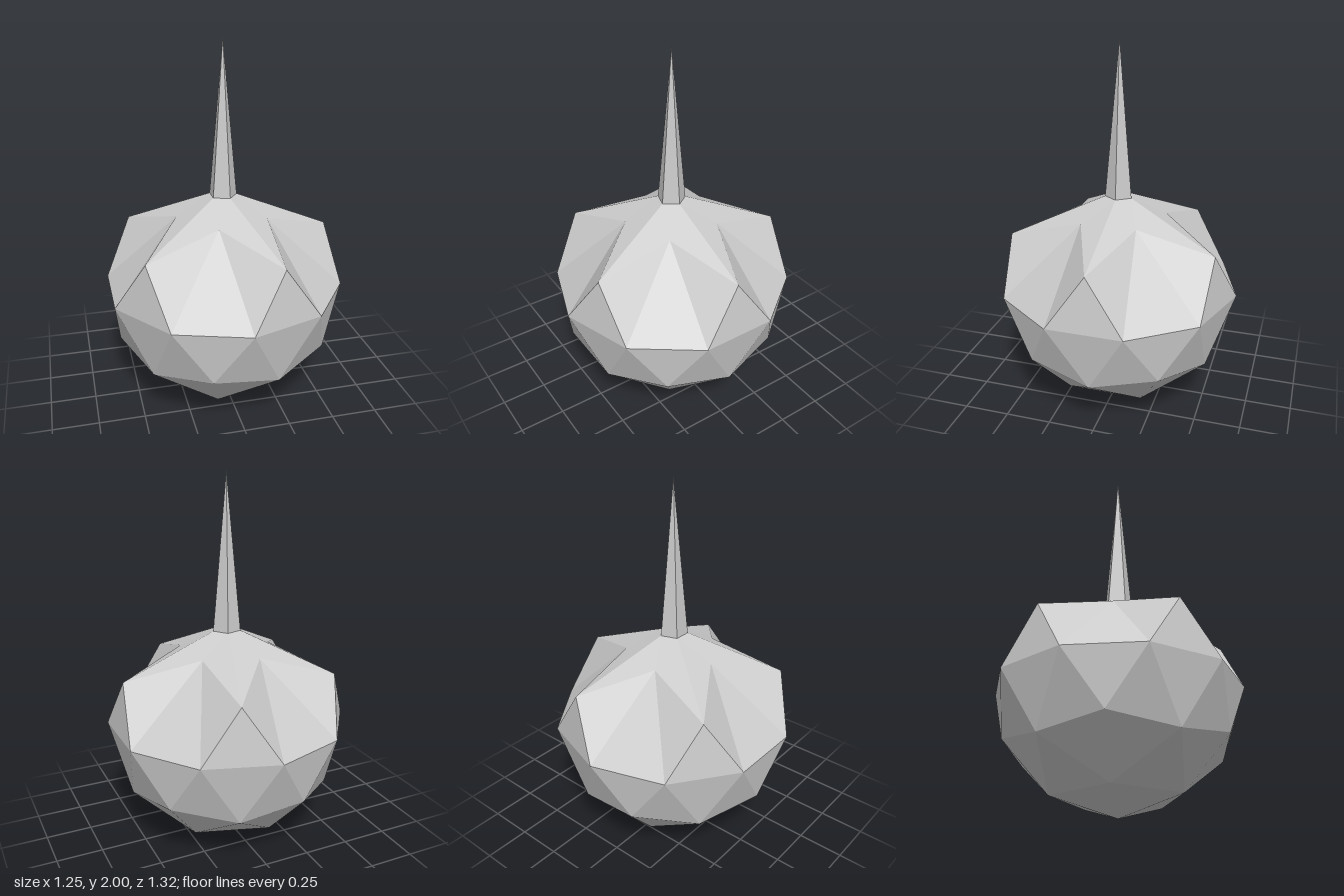
import * as THREE from 'three';

const R = 0.658; // radius of the faceted body, whose centre sits at y = R

// Point on a ring, given its radius, height and angle in degrees
function ring(radius, y) {
  return (deg) => {
    const a = THREE.MathUtils.degToRad(deg);
    return [radius * Math.cos(a), y, radius * Math.sin(a)];
  };
}

function facetMesh(name, triangles, material) {
  const geometry = new THREE.BufferGeometry();
  geometry.setAttribute('position', new THREE.Float32BufferAttribute(triangles.flat(2), 3));
  geometry.computeVertexNormals(); // unshared corners keep the facets flat
  const mesh = new THREE.Mesh(geometry, material);
  mesh.name = name;
  return mesh;
}

export function createModel() {
  const grey = new THREE.MeshStandardMaterial({ color: 0xcccccc });
  grey.name = 'light grey';

  // Rings of a once-divided icosahedron, with the top pinched into a star
  const neck = ring(0.077, 1.165);
  const valley = ring(0.255, 1.063);
  const shoulder = ring(R * 0.894, R * 1.447);
  const equator = ring(R, R);
  const lower = ring(R * 0.894, R * 0.553);
  const lowerMid = ring(R * 0.851, R * 0.474);
  const base = ring(R * 0.526, R * 0.149);
  const bottom = [0, 0, 0];
  const apex = [0, 2, 0];

  const star = [], bowl = [], spike = [];
  for (let i = 0; i < 5; i++) {
    const a = i * 72;
    const P0 = neck(a), P1 = neck(a + 72), V = valley(a + 36);
    const U0 = shoulder(a), U1 = shoulder(a + 72);
    const E0 = equator(a + 18), E1 = equator(a + 54), E2 = equator(a + 90);
    const L0 = lower(a + 36), L1 = lower(a + 108), M = lowerMid(a + 72);
    const Q0 = base(a + 36), Q1 = base(a + 108);

    // Ridges and valleys above the equator
    star.push([E0, V, E1], [E0, U0, V], [E1, V, U1], [E1, U1, E2],
      [U0, P0, V], [U1, V, P1], [V, P0, P1]);
    // Rounded underside
    bowl.push([E0, E1, L0], [L0, E1, M], [M, E1, E2], [M, E2, L1],
      [L0, M, Q0], [M, L1, Q1], [M, Q1, Q0], [Q0, Q1, bottom]);
    // Needle on top
    spike.push([P0, apex, P1]);
  }

  const group = new THREE.Group();
  group.name = 'spikedBall';
  group.add(
    facetMesh('starTop', star, grey),
    facetMesh('bowl', bowl, grey),
    facetMesh('spike', spike, grey),
  );
  return group;
}
